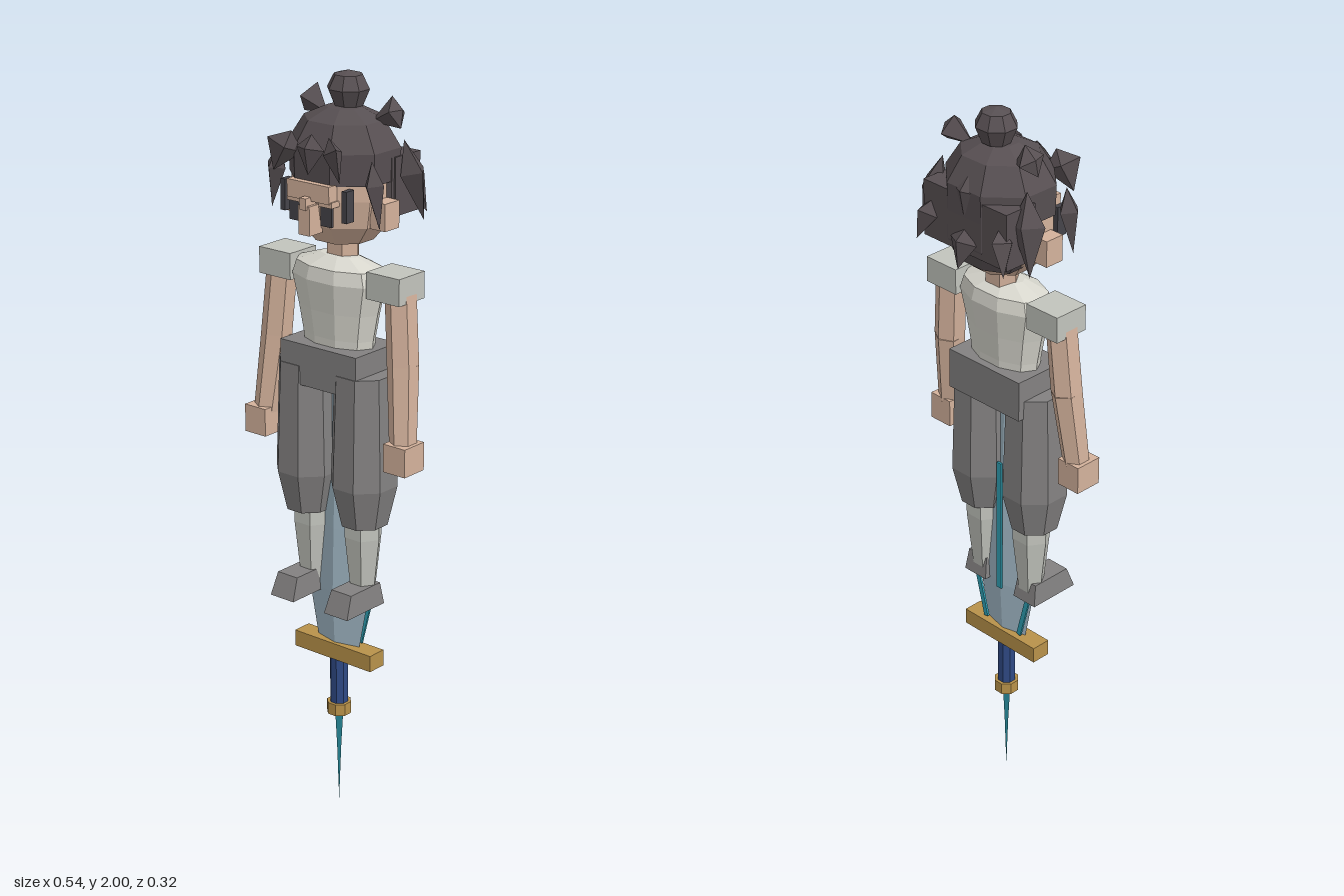
import * as THREE from 'three';

const mat = (name, color) => {
  const m = new THREE.MeshStandardMaterial({ color });
  m.name = name;
  return m;
};

export function createModel() {
  const skin = mat('skin', 0xd4b29c), hair = mat('hair', 0x574f52);
  const shirt = mat('shirt', 0xd8d7ce), cloth = mat('pale cloth', 0xc2c4bd);
  const trousers = mat('trousers', 0x838181), dark = mat('eye grey', 0x45444a);
  const steel = mat('steel', 0xa3bac8), gold = mat('gold', 0xb8924a);
  const blue = mat('grip blue', 0x2f4a85), teal = mat('teal', 0x2f9fb3);
  teal.side = THREE.DoubleSide;

  const model = new THREE.Group();
  model.name = 'swordFigure';

  // Faceted mesh
  const add = (name, geo, material, x = 0, y = 0, z = 0) => {
    const g = geo.index ? geo.toNonIndexed() : geo;
    g.computeVertexNormals();
    const m = new THREE.Mesh(g, material);
    m.name = name;
    m.position.set(x, y, z);
    model.add(m);
    return m;
  };
  // Box from its limits
  const box = (name, material, x0, x1, y0, y1, z0, z1) =>
    add(name, new THREE.BoxGeometry(Math.abs(x1 - x0), y1 - y0, z1 - z0), material,
      (x0 + x1) / 2, (y0 + y1) / 2, (z0 + z1) / 2);
  // Turned form with flat sides to the front; the profile runs upward
  const turned = (name, material, profile, sides, depth, x = 0, z = 0) => {
    const g = new THREE.LatheGeometry(profile.map(p => new THREE.Vector2(p[0], p[1])), sides);
    if (sides > 4) g.rotateY(Math.PI / sides);
    const k = sides > 4 ? 1 / Math.cos(Math.PI / sides) : 1;
    return add(name, g.scale(k, 1, depth * k), material, x, 0, z);
  };
  const up = new THREE.Vector3(0, 1, 0);
  // Tapered limb between two points
  const limb = (name, material, a, b, ra, rb, sides = 6) => {
    const A = new THREE.Vector3(...a), B = new THREE.Vector3(...b);
    const d = A.clone().sub(B), mid = A.clone().add(B).multiplyScalar(0.5);
    const m = add(name, new THREE.CylinderGeometry(ra, rb, d.length(), sides), material, ...mid.toArray());
    m.quaternion.setFromUnitVectors(up, d.normalize());
  };
  // Spiked lock growing from a root along a direction
  const tuft = (name, root, dir, len, rad, flat = 0.6, belly = 0.35) => {
    const g = new THREE.LatheGeometry([[0, 0], [rad, belly * len], [0, len]].map(p => new THREE.Vector2(...p)), 4);
    const m = add(name, g.scale(1, 1, flat), hair, ...root);
    m.quaternion.setFromUnitVectors(up, new THREE.Vector3(...dir).normalize());
  };

  // Head and neck
  turned('head', skin, [[0, 1.575], [0.075, 1.58], [0.115, 1.63], [0.128, 1.7], [0.128, 1.8], [0, 1.81]], 8, 0.92, 0, 0);
  turned('neck', skin, [[0.042, 1.5], [0.042, 1.61]], 6, 0.8);
  box('brow', skin, -0.068, 0.068, 1.7, 1.745, 0.1, 0.135);
  box('nose', skin, -0.018, 0.018, 1.615, 1.69, 0.1, 0.15);
  box('noseBridge', skin, -0.01, 0.01, 1.68, 1.71, 0.1, 0.155);

  // Hair cap, back block and bun
  turned('hairCap', hair, [[0, 1.74], [0.137, 1.74], [0.139, 1.82], [0.1, 1.885], [0.045, 1.912], [0, 1.915]], 8, 0.9, 0, -0.005);
  box('backHair', hair, -0.143, 0.143, 1.65, 1.8, -0.127, -0.03);
  turned('backHairTaper', hair, [[0.1, 1.61], [0.139, 1.67], [0.139, 1.8]], 8, 0.55, 0, -0.052);
  turned('bun', hair, [[0, 1.9], [0.035, 1.912], [0.052, 1.955], [0.035, 1.99], [0, 2]], 8, 0.95, 0, -0.02);

  // Fringe and rear locks
  tuft('fringeMiddle', [0.005, 1.865, 0.125], [0, -1, 0.15], 0.1, 0.045, 0.5);
  tuft('backLock', [0, 1.72, -0.12], [0, -1, -0.3], 0.11, 0.045, 0.6);
  tuft('upperBackLock', [0, 1.85, -0.115], [0, -1, -0.15], 0.1, 0.045, 0.5);

  for (const s of [1, -1]) {
    // Face details
    box('ear', skin, s * 0.12, s * 0.168, 1.63, 1.7, -0.015, 0.04);
    box('eye', dark, s * 0.033, s * 0.068, 1.64, 1.69, 0.117, 0.125);
    box('eyelid', skin, s * 0.03, s * 0.072, 1.69, 1.705, 0.1, 0.13);
    box('temple', dark, s * 0.092, s * 0.107, 1.655, 1.735, 0.085, 0.115);

    // Locks of hair
    tuft('fringeSide', [s * 0.06, 1.865, 0.125], [s * 0.45, -1, 0.15], 0.115, 0.048, 0.5);
    tuft('crownTuft', [s * 0.07, 1.88, -0.025], [s * 1, 0.45, -0.2], 0.095, 0.042, 0.9, 0.8);
    tuft('frontSideLock', [s * 0.15, 1.81, 0.07], [s * 0.15, -1, 0], 0.17, 0.03, 1);
    tuft('backSideLock', [s * 0.145, 1.84, -0.06], [s * 0.2, -1, -0.15], 0.21, 0.036, 1.3, 0.4);
    tuft('rearCornerLock', [s * 0.11, 1.76, -0.11], [s * 0.35, -1, -0.3], 0.13, 0.042, 0.7);

    // Arms
    box('shoulderPad', cloth, s * 0.125, s * 0.23, 1.455, 1.525, -0.04, 0.06);
    limb('upperArm', skin, [s * 0.193, 1.5, 0.01], [s * 0.21, 1.29, 0.018], 0.04, 0.041);
    limb('forearm', skin, [s * 0.21, 1.29, 0.018], [s * 0.228, 1.08, 0.038], 0.041, 0.035);
    box('hand', skin, s * 0.198, s * 0.268, 1.02, 1.095, 0.003, 0.08);

    // Legs
    turned('trouserLeg', trousers, [[0, 0.84], [0.058, 0.84], [0.082, 0.95], [0.073, 1.25], [0, 1.25]], 8, 1.03, s * 0.093, 0.027);
    turned('shin', cloth, [[0.03, 0.64], [0.046, 0.8], [0.046, 0.87]], 6, 0.92, s * 0.086, 0.022);
    const shoe = new THREE.BoxGeometry(0.078, 0.06, 0.15);
    const p = shoe.attributes.position;
    for (let i = 0; i < p.count; i++) {
      if (p.getY(i) > 0) {
        p.setZ(i, p.getZ(i) > 0 ? 0.052 : -0.065);
        p.setX(i, p.getX(i) * 0.85);
      }
    }
    add('shoe', shoe, trousers, s * 0.092, 0.64, 0.065);

    // Teal trim along the blade shoulders
    const trim = box('bladeEdgeTrim', teal, -0.007, 0.007, 0.485, 0.635, -0.003, 0.003);
    trim.position.set(s * 0.08, 0.555, 0.003);
    trim.rotation.z = -s * 0.25;
  }

  // Torso and sash
  turned('torso', shirt, [[0, 1.28], [0.1, 1.28], [0.105, 1.33], [0.118, 1.4], [0.137, 1.48], [0.125, 1.515], [0.055, 1.54], [0, 1.54]], 10, 0.56, 0, 0.014);
  box('sash', trousers, -0.125, 0.125, 1.2, 1.31, -0.065, 0.1);

  // Sword, point up between the legs
  turned('blade', steel, [[0, 0.46], [0.068, 0.46], [0.1, 0.62], [0.085, 0.8], [0.035, 1.22], [0, 1.25]], 4, 0.25, 0, 0.018);
  box('bladeBackTrim', teal, -0.008, 0.008, 0.61, 1, -0.012, -0.006);
  box('guard', gold, -0.13, 0.13, 0.43, 0.475, -0.01, 0.045);
  turned('grip', blue, [[0.023, 0.28], [0.023, 0.44]], 8, 1, 0, 0.017);
  turned('pommel', gold, [[0, 0.265], [0.031, 0.265], [0.031, 0.298], [0, 0.298]], 8, 1, 0, 0.017);
  const spike = new THREE.Shape([[-0.015, 0.28], [-0.007, 0.16], [0, 0], [0.007, 0.16], [0.015, 0.28]]
    .map(q => new THREE.Vector2(...q)));
  add('pommelSpike', new THREE.ShapeGeometry(spike), teal, 0, 0, 0.017);

  return model;
}
